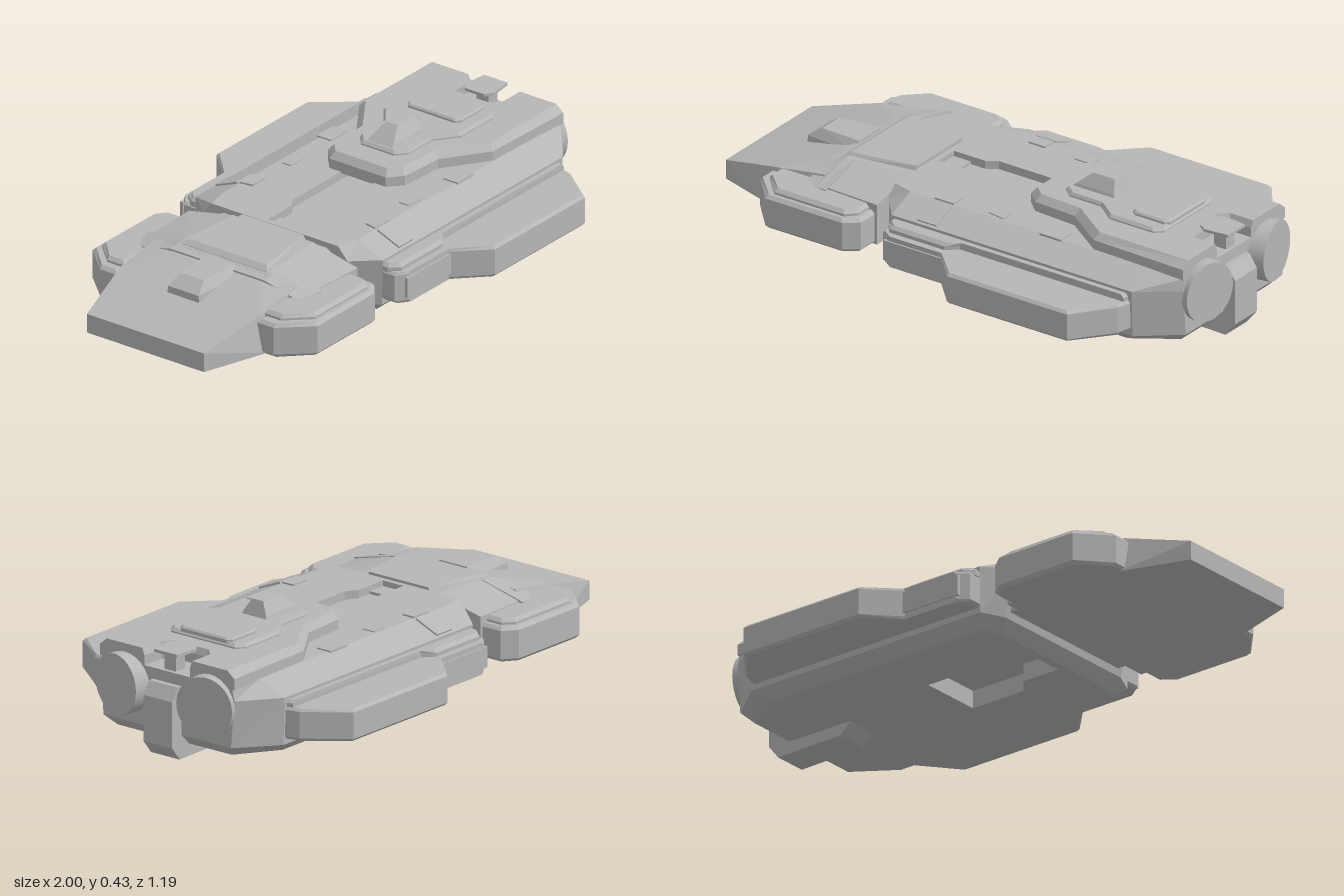
import * as THREE from 'three';
import { ConvexGeometry } from 'three/addons/geometries/ConvexGeometry.js';

const hullGrey = new THREE.MeshStandardMaterial({ color: 0xb6b6b6, side: THREE.DoubleSide });
hullGrey.name = 'hullGrey';

// Closed symmetric plan outline from its +z half, listed from bow to stern.
const mirrorPlan = half => [...half, ...half.map(([x, z]) => [x, -z]).reverse()];

// Pull an outline in towards the middle of its bounds by distance d.
function inset(plan, d) {
  const mid = [0, 1].map(k => {
    const v = plan.map(p => p[k]), lo = Math.min(...v), hi = Math.max(...v);
    return { c: (lo + hi) / 2, s: 1 - 2 * d / (hi - lo) };
  });
  return plan.map(p => p.map((v, k) => mid[k].c + (v - mid[k].c) * mid[k].s));
}

// Faceted solid through horizontal outlines [y, plan]; caps may be pierced or left off.
function stack(levels, { top = [], bottom = [] } = {}) {
  const pos = [];
  const put = (y, [x, z]) => pos.push(x, y, z);
  for (let l = 0; l < levels.length - 1; l++) {
    const [y0, a] = levels[l], [y1, b] = levels[l + 1];
    a.forEach((p, i) => {
      const j = (i + 1) % a.length;
      put(y0, p); put(y0, a[j]); put(y1, b[j]);
      put(y0, p); put(y1, b[j]); put(y1, b[i]);
    });
  }
  const cap = ([y, plan], holes, flip) => {
    if (!holes) return;
    const flat = pts => pts.map(([x, z]) => new THREE.Vector2(x, -z));
    const all = [plan, ...holes].flat();
    for (const t of THREE.ShapeUtils.triangulateShape(flat(plan), holes.map(flat)))
      for (const i of flip ? [t[0], t[2], t[1]] : t) put(y, all[i]);
  };
  cap(levels[0], bottom, true);
  cap(levels[levels.length - 1], top, false);
  const g = new THREE.BufferGeometry();
  g.setAttribute('position', new THREE.Float32BufferAttribute(pos, 3));
  g.computeVertexNormals();
  return g;
}

// Plate with optional chamfers along its top and bottom rims.
function slab(plan, y0, y1, bevelTop = 0, bevelBottom = 0) {
  const levels = [];
  if (bevelBottom) levels.push([y0, inset(plan, bevelBottom)]);
  levels.push([y0 + bevelBottom, plan], [y1 - bevelTop, plan]);
  if (bevelTop) levels.push([y1, inset(plan, bevelTop)]);
  return stack(levels);
}

// Convex solid from +z side points, mirrored across the centre line.
const hullOf = pts => new ConvexGeometry(
  pts.flatMap(([x, y, z]) => [new THREE.Vector3(x, y, z), new THREE.Vector3(x, y, -z)]));

export function createModel() {
  const ship = new THREE.Group();
  ship.name = 'spaceship';
  const add = (name, geometry, parent = ship) => {
    const m = new THREE.Mesh(geometry, hullGrey);
    m.name = name;
    parent.add(m);
    return m;
  };

  // Main hull, with a channel on top and a bay underneath
  const channel = mirrorPlan([[-0.26, 0.045], [-0.13, 0.045], [-0.09, 0.07], [0.22, 0.07]]);
  const bay = mirrorPlan([[-0.17, 0.06], [-0.02, 0.06], [0.03, 0.12], [0.25, 0.12]]);
  add('mainHull', stack([
    [0.045, mirrorPlan([[-0.2, 0.27], [-0.17, 0.35], [0.75, 0.35], [0.9, 0.25]])],
    [0.085, mirrorPlan([[-0.24, 0.31], [-0.2, 0.395], [0.8, 0.395], [0.94, 0.28]])],
    [0.255, mirrorPlan([[-0.28, 0.31], [-0.2, 0.4], [0.8, 0.4], [0.94, 0.295]])],
    [0.3, mirrorPlan([[-0.28, 0.27], [-0.2, 0.29], [0.8, 0.29], [0.94, 0.285]])],
  ], { top: [channel], bottom: [bay] }));
  add('topChannel', stack([[0.27, channel], [0.3, channel]], { top: null }));
  add('undersideBay', stack([[0.045, bay], [0.11, bay]], { bottom: null }));

  // Neck between the hull and the bow section
  add('neck', hullOf([
    [-0.34, 0.11, 0.29], [-0.19, 0.11, 0.29], [-0.34, 0.24, 0.29], [-0.19, 0.24, 0.29],
    [-0.34, 0.28, 0.22], [-0.19, 0.28, 0.22]]));

  // Bow wedge and collar
  add('bow', hullOf([
    [-1, 0.1, 0.25], [-1, 0.17, 0.25], [-0.75, 0.1, 0.33], [-0.75, 0.235, 0.3],
    [-0.55, 0.1, 0.35], [-0.55, 0.265, 0.3], [-0.55, 0.28, 0.15]]));
  add('collarStep', hullOf([
    [-0.6, 0.1, 0.35], [-0.6, 0.24, 0.35], [-0.6, 0.275, 0.2],
    [-0.5, 0.1, 0.37], [-0.5, 0.25, 0.37], [-0.5, 0.29, 0.2]]));
  add('collar', hullOf([
    [-0.57, 0.1, 0.35], [-0.57, 0.24, 0.35], [-0.57, 0.28, 0.2],
    [-0.54, 0.25, 0.35], [-0.54, 0.29, 0.19],
    [-0.29, 0.1, 0.36], [-0.29, 0.25, 0.36], [-0.29, 0.29, 0.17]]));
  add('collarRidge', hullOf([
    [-0.57, 0.25, 0.18], [-0.56, 0.285, 0.18], [-0.54, 0.3, 0.165],
    [-0.29, 0.25, 0.155], [-0.29, 0.305, 0.13]]));
  add('bowHousing', hullOf([
    [-0.79, 0.2, 0.07], [-0.79, 0.25, 0.065], [-0.74, 0.285, 0.05],
    [-0.58, 0.2, 0.09], [-0.58, 0.25, 0.085], [-0.58, 0.287, 0.06]]));

  // Side pods and hull panels, built on +z and mirrored
  const bowPod = [[-0.77, 0.3], [-0.77, 0.37], [-0.67, 0.48], [-0.35, 0.48], [-0.3, 0.44], [-0.3, 0.3]];
  const bowPodCap = [[-0.73, 0.3], [-0.73, 0.37], [-0.65, 0.455], [-0.36, 0.455], [-0.325, 0.42], [-0.325, 0.3]];
  const wing = [[-0.2, 0.37], [-0.2, 0.45], [-0.16, 0.48], [0.06, 0.48], [0.17, 0.595],
    [0.67, 0.595], [0.78, 0.45], [0.8, 0.37]];
  const wingCap = [[-0.2, 0.38], [-0.2, 0.42], [-0.17, 0.455], [0.06, 0.455], [0.1, 0.42], [0.78, 0.42], [0.79, 0.38]];
  for (const side of [1, -1]) {
    const half = new THREE.Group();
    half.name = side > 0 ? 'leftSide' : 'rightSide';
    half.scale.z = side;
    ship.add(half);
    add('bowPod', slab(bowPod, 0.1, 0.225, 0.012, 0.012), half);
    add('bowPodCap', slab(bowPodCap, 0.22, 0.245, 0.012), half);
    add('wingPod', slab(wing, 0.105, 0.22, 0.01, 0.01), half);
    add('wingPodCap', slab(wingCap, 0.215, 0.245, 0.012), half);

    // Raised panels on the wing pod's short side and on the deck
    const panel = add('wingPanel', new THREE.BoxGeometry(0.35, 0.075, 0.012), half);
    panel.position.set(0.0, 0.165, 0.48);
    add('shoulderPanel', slab([[-0.09, 0.24], [-0.02, 0.24], [-0.02, 0.29], [-0.1, 0.29]], 0.295, 0.306), half);
    const shoulder = add('shoulderPlate', new THREE.BoxGeometry(0.08, 0.008, 0.1), half);
    shoulder.position.set(-0.06, 0.28, 0.345);
    shoulder.rotation.x = 0.39;
    add('deckPanel', slab([[0.11, 0.23], [0.11, 0.27], [0.18, 0.28], [0.18, 0.23]], 0.296, 0.304), half);
    const hatch = add('shoulderHatch', new THREE.BoxGeometry(0.09, 0.008, 0.06), half);
    hatch.position.set(0.39, 0.301, 0.27);

    // Engine nozzle, angled slightly to the centre line
    const engine = new THREE.Group();
    engine.name = 'engine';
    engine.position.set(0.93, 0.222, 0.185);
    engine.rotation.y = -0.19;
    half.add(engine);
    const nozzle = add('nozzle', new THREE.CylinderGeometry(0.108, 0.108, 0.1, 28), engine);
    nozzle.rotation.z = -Math.PI / 2;
  }

  // Stepped upper deck, notched at the stern
  const deck = [[0.18, 0.12], [0.23, 0.165], [0.4, 0.175], [0.56, 0.285], [0.94, 0.295], [0.94, 0.1], [0.85, 0.1], [0.82, 0.07]];
  const deckTop = [[0.2, 0.11], [0.24, 0.145], [0.41, 0.155], [0.57, 0.265], [0.94, 0.265], [0.94, 0.11], [0.845, 0.11], [0.81, 0.075]];
  add('upperDeck', stack([[0.295, mirrorPlan(deck)], [0.335, mirrorPlan(deck)], [0.36, mirrorPlan(deckTop)]]));
  add('bridgePlate', slab(mirrorPlan([[0.29, 0.07], [0.33, 0.105], [0.46, 0.105], [0.54, 0.165],
    [0.72, 0.165], [0.75, 0.14]]), 0.355, 0.375, 0.01));
  add('rearHatch', slab(mirrorPlan([[0.59, 0.1], [0.61, 0.115], [0.73, 0.115], [0.745, 0.1]]), 0.37, 0.388, 0.006));
  add('bridge', hullOf([[0.3, 0.37, 0.055], [0.48, 0.37, 0.055], [0.32, 0.385, 0.05], [0.475, 0.385, 0.05],
    [0.37, 0.43, 0.024], [0.46, 0.43, 0.024]]));

  // Stern notch details
  add('sternPost', new THREE.BoxGeometry(0.05, 0.07, 0.05)).position.set(0.9, 0.33, 0);
  add('sternPlate', slab(mirrorPlan([[0.83, 0.04], [0.86, 0.06], [0.95, 0.05]]), 0.362, 0.372));

  // Keel fin and stern column
  add('keelFin', hullOf([[0.63, 0.05, 0.063], [0.68, 0.004, 0.063], [0.95, 0, 0.063],
    [0.99, 0.05, 0.063], [0.93, 0.09, 0.063]]));
  add('sternColumn', hullOf([[0.88, 0.04, 0.063], [0.99, 0.05, 0.063], [0.99, 0.215, 0.063],
    [0.96, 0.26, 0.063], [0.88, 0.26, 0.063]]));

  return ship;
}
